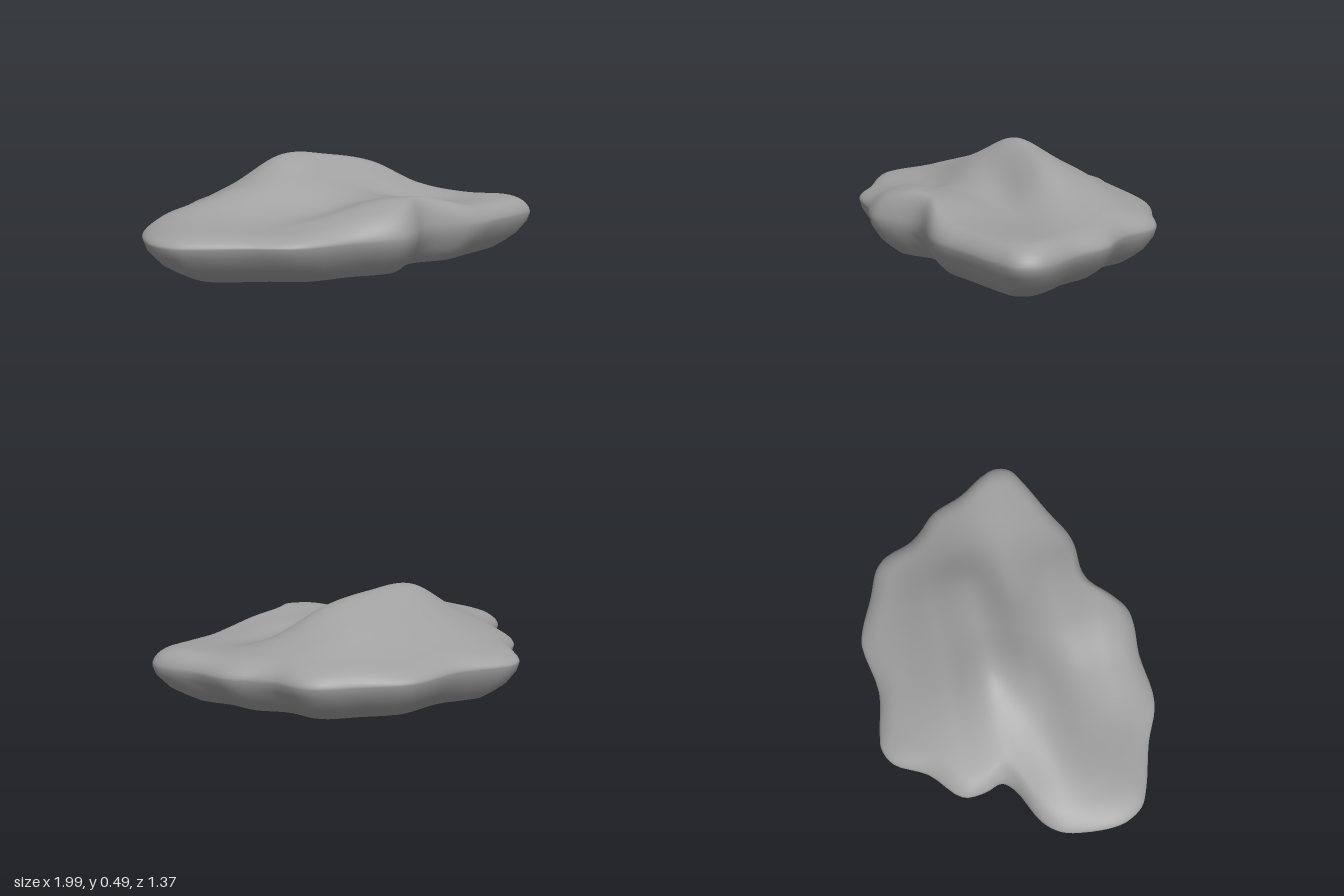
import * as THREE from 'three';
import { mergeVertices } from 'three/addons/utils/BufferGeometryUtils.js';

// Widest contour of the rock, as x, z pairs
const OUTLINE = [
  0.99, 0.17, 0.97, 0.25, 0.885, 0.305, 0.68, 0.4, 0.54, 0.47, 0.455, 0.49, 0.285, 0.49,
  0.205, 0.525, 0.12, 0.615, 0.045, 0.67, -0.04, 0.68, -0.2, 0.665, -0.4, 0.68, -0.49, 0.665,
  -0.64, 0.595, -0.85, 0.525, -0.935, 0.48, -0.985, 0.4, -1, 0.33, -0.995, 0.19, -0.97, 0.08,
  -0.905, 0, -0.735, -0.09, -0.69, -0.145, -0.715, -0.23, -0.715, -0.34, -0.575, -0.48,
  -0.49, -0.635, -0.405, -0.68, -0.32, -0.675, -0.12, -0.645, 0.135, -0.69, 0.22, -0.675,
  0.39, -0.605, 0.54, -0.55, 0.6, -0.49, 0.65, -0.36, 0.7, -0.295, 0.8, -0.2, 0.87, -0.04,
  0.955, 0.085,
];

// Heights of the upper face: columns x = -1..1 by 0.25, rows z = -0.7..0.7 by 0.2
const HEIGHTS = [
  [0.20, 0.20, 0.21, 0.21, 0.21, 0.21, 0.21, 0.20, 0.20],
  [0.20, 0.21, 0.24, 0.27, 0.28, 0.27, 0.24, 0.21, 0.20],
  [0.20, 0.22, 0.29, 0.37, 0.39, 0.37, 0.29, 0.23, 0.21],
  [0.21, 0.25, 0.35, 0.485, 0.475, 0.425, 0.31, 0.25, 0.23],
  [0.22, 0.29, 0.35, 0.39, 0.35, 0.285, 0.25, 0.255, 0.26],
  [0.22, 0.25, 0.25, 0.26, 0.30, 0.30, 0.26, 0.25, 0.25],
  [0.22, 0.22, 0.22, 0.26, 0.32, 0.32, 0.26, 0.23, 0.23],
  [0.21, 0.21, 0.21, 0.22, 0.26, 0.26, 0.23, 0.22, 0.22],
];

// Smooth cubic interpolation along a list of values
function cubic(values, u) {
  const last = values.length - 1;
  const i = Math.min(Math.max(Math.floor(u), 0), last - 1);
  const at = (k) => values[Math.min(Math.max(k, 0), last)];
  const [a, b, c, d] = [at(i - 1), at(i), at(i + 1), at(i + 2)];
  const f = Math.min(Math.max(u - i, 0), 1);
  return b + 0.5 * f * (c - a + f * (2 * a - 5 * b + 4 * c - d + f * (3 * (b - c) + d - a)));
}

const heightAt = (x, z) =>
  cubic(HEIGHTS.map((row) => cubic(row, (x + 1) / 0.25)), (z + 0.7) / 0.2);

export function createModel() {
  const group = new THREE.Group();
  group.name = 'rock';
  const stone = new THREE.MeshStandardMaterial({ color: 0xa0a0a0 });
  stone.name = 'grey stone';

  const points = [];
  for (let i = 0; i < OUTLINE.length; i += 2) {
    points.push(new THREE.Vector3(OUTLINE[i], 0, OUTLINE[i + 1]));
  }
  const COUNT = 164;
  const contour = new THREE.CatmullRomCurve3(points, true, 'centripetal').getPoints(COUNT).slice(0, COUNT);

  // Rings run from the peak outwards, round the rim and down to the ground
  const WAIST = 0.17, ROLL = 0.87;
  const rings = [];
  for (let i = 0; i <= 28; i++) {
    const s = (i / 28) * ROLL;
    rings.push((p) => [p.x * s, heightAt(p.x * s, p.z * s), p.z * s]);
  }
  for (let i = 1; i <= 8; i++) {
    const angle = (i / 8) * Math.PI / 2;
    const s = ROLL + (1 - ROLL) * Math.sin(angle);
    rings.push((p) => [
      p.x * s, WAIST + (heightAt(p.x * s, p.z * s) - WAIST) * Math.cos(angle), p.z * s,
    ]);
  }
  for (const [s, y] of [[0.985, 0.13], [0.93, 0.07], [0.87, 0.032], [0.81, 0]]) {
    rings.push((p) => [p.x * s, y, p.z * s]);
  }

  const positions = [], indices = [];
  rings.forEach((place, r) => contour.forEach((p, j) => {
    positions.push(...place(p));
    if (r === rings.length - 1) return;
    const a = r * COUNT + j, b = r * COUNT + (j + 1) % COUNT;
    if (r > 0) indices.push(a, b, a + COUNT);
    indices.push(b, b + COUNT, a + COUNT);
  }));
  let shell = new THREE.BufferGeometry();
  shell.setAttribute('position', new THREE.Float32BufferAttribute(positions, 3));
  shell.setIndex(indices);
  shell = mergeVertices(shell, 1e-5);
  shell.computeVertexNormals();
  const body = new THREE.Mesh(shell, stone);
  body.name = 'rockBody';
  group.add(body);

  // Flat underside
  const shape = new THREE.Shape(contour.map((p) => new THREE.Vector2(p.x * 0.81, p.z * 0.81)));
  const base = new THREE.Mesh(new THREE.ShapeGeometry(shape).rotateX(Math.PI / 2), stone);
  base.name = 'flatBase';
  group.add(base);

  return group;
}
